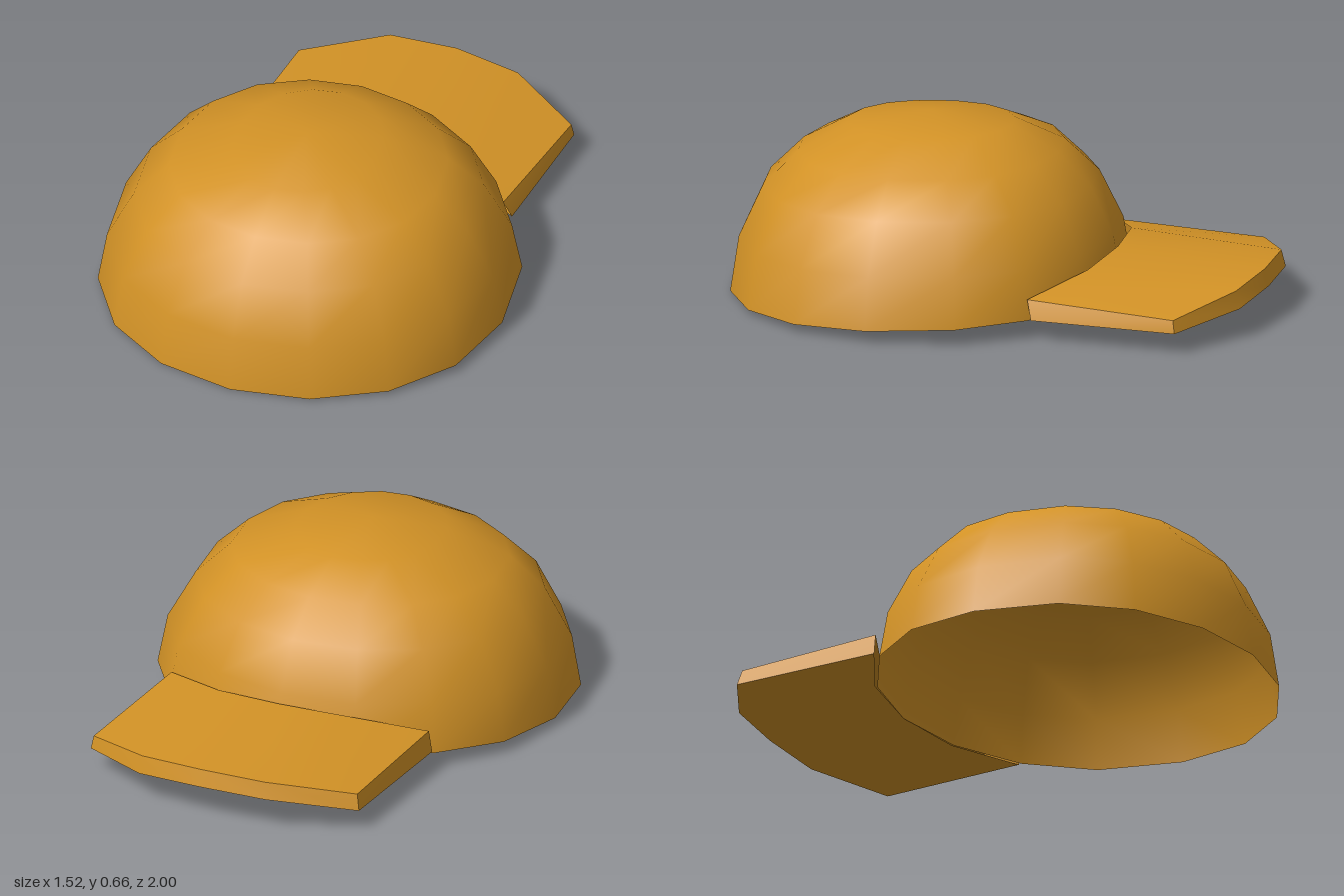
import * as THREE from 'three';

const SIDES = 16;
const CENTRE_Z = 0.28;

function buildGeometry(positions, indices) {
  const g = new THREE.BufferGeometry();
  g.setAttribute('position', new THREE.Float32BufferAttribute(positions, 3));
  g.setIndex(indices);
  g.computeVertexNormals();
  return g;
}

// Open dome: slightly tilted oval rings closed by one point at the top
function crownGeometry() {
  // half width, half depth, height, backward tilt
  const rings = [
    [0.76, 0.72, 0.04, 0.05],
    [0.725, 0.69, 0.23, 0.03],
    [0.625, 0.605, 0.413, 0.025],
    [0.5, 0.48, 0.535, 0.025],
    [0.265, 0.305, 0.628, 0.025],
  ];
  const pos = [], idx = [];
  rings.forEach(([rx, rz, y, tilt], i) => {
    for (let j = 0; j < SIDES; j++) {
      const a = THREE.MathUtils.degToRad(-4 + j * 22.5);
      const c = Math.cos(a);
      const x = rx * Math.sin(a) - 0.002 * i;
      const z = rz * Math.sign(c) * Math.abs(c) ** 0.9;
      pos.push(x, y + 0.015 * x - tilt * z, CENTRE_Z + z);
      const k = (j + 1) % SIDES, row = i * SIDES, next = row + SIDES;
      if (i < rings.length - 1) {
        idx.push(row + j, row + k, next + k, row + j, next + k, next + j);
      } else {
        idx.push(row + j, row + k, rings.length * SIDES);
      }
    }
  });
  pos.push(-0.01, 0.665, CENTRE_Z);
  return buildGeometry(pos, idx);
}

// Strip of quads between two equally long rows of points
function strip(a, b) {
  const pos = [...a, ...b].flat(), idx = [], n = a.length;
  for (let i = 0; i < n - 1; i++) {
    idx.push(i, i + 1, n + i + 1, i, n + i + 1, n + i);
  }
  return buildGeometry(pos, idx);
}

export function createModel() {
  const cloth = new THREE.MeshStandardMaterial({ color: 0xd29226, side: THREE.DoubleSide });
  cloth.name = 'ochre cloth';
  const cap = new THREE.Group();
  cap.name = 'cap';
  const add = (name, geometry, parent) => {
    const mesh = new THREE.Mesh(geometry, cloth);
    mesh.name = name;
    parent.add(mesh);
  };

  add('crown', crownGeometry(), cap);

  // Arched brim, lofted across five stations from its +x side to its -x side
  const innerTop = [[0.565, 0.15, -0.21], [0.31, 0.2, -0.375], [0.05, 0.217, -0.425], [-0.2, 0.213, -0.415], [-0.485, 0.155, -0.3]];
  const innerLow = [[0.592, 0.08, -0.23], [0.34, 0.08, -0.38], [0.053, 0.078, -0.438], [-0.24, 0.075, -0.415], [-0.498, 0.075, -0.3]];
  const outerTop = [[0.63, 0.128, -0.765], [0.365, 0.175, -0.937], [0.115, 0.19, -0.985], [-0.14, 0.187, -0.985], [-0.442, 0.138, -0.85]];
  const outerLow = [[0.638, 0.08, -0.772], [0.37, 0.11, -0.952], [0.12, 0.127, -1], [-0.145, 0.125, -1], [-0.455, 0.08, -0.865]];

  const brim = new THREE.Group();
  brim.name = 'brim';
  add('brimTop', strip(innerTop, outerTop), brim);
  add('brimEdge', strip(outerTop, outerLow), brim);
  add('brimUnderside', strip(outerLow, innerLow), brim);
  add('brimLeftEnd', strip([innerLow[0], innerTop[0]], [outerLow[0], outerTop[0]]), brim);
  add('brimRightEnd', strip([innerTop[4], innerLow[4]], [outerTop[4], outerLow[4]]), brim);
  cap.add(brim);
  return cap;
}
